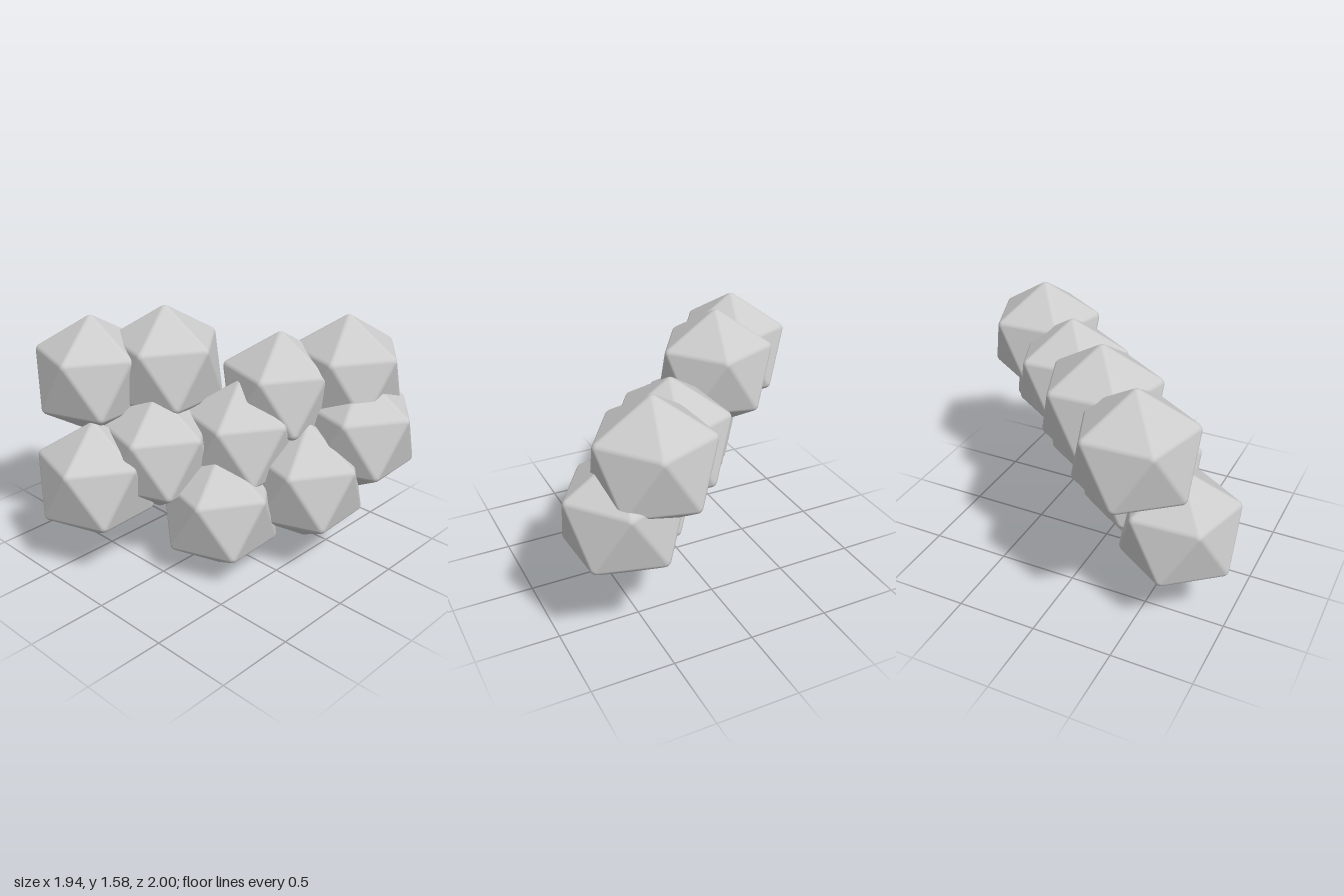
import * as THREE from 'three';

const CORE = 0.345;   // radius of the sharp inner icosahedron
const BEVEL = 0.04;   // rounding radius
const STEPS = 3;

// Icosahedron standing on a corner, with rounded edges and corners
function roundedIcosahedron() {
  const ring = (deg, y) => Array.from({ length: 5 }, (_, k) => {
    const a = THREE.MathUtils.degToRad(deg + 72 * k);
    return new THREE.Vector3(Math.cos(a) * 2, y, Math.sin(a) * 2).divideScalar(Math.sqrt(5));
  });
  const top = new THREE.Vector3(0, 1, 0), bottom = new THREE.Vector3(0, -1, 0);
  const up = ring(-3, 1), low = ring(33, -1);
  const faces = [];
  for (let k = 0; k < 5; k++) {
    const n = (k + 1) % 5;
    faces.push([top, up[k], up[n]], [up[k], up[n], low[k]], [low[k], low[n], up[n]], [bottom, low[k], low[n]]);
  }

  const pos = [], nor = [];
  // each corner is [core corner, normal]; winding follows the normals
  const tri = (...corners) => {
    const p = corners.map(([v, n]) => v.clone().multiplyScalar(CORE).addScaledVector(n, BEVEL));
    const cross = p[1].clone().sub(p[0]).cross(p[2].clone().sub(p[0]));
    if (cross.lengthSq() < 1e-16) return;
    const out = corners[0][1].clone().add(corners[1][1]).add(corners[2][1]);
    const order = cross.dot(out) > 0 ? [0, 1, 2] : [0, 2, 1];
    for (const i of order) {
      pos.push(...p[i].toArray());
      nor.push(...corners[i][1].toArray());
    }
  };
  const quad = (a, b, c, d) => { tri(a, b, c); tri(a, c, d); };
  const mix = (a, b, t) => a.clone().lerp(b, t).normalize();

  for (const f of faces) {
    const n = f[0].clone().add(f[1]).add(f[2]).normalize();
    tri(...f.map(v => [v, n]));                       // flat face
    for (let e = 0; e < 3; e++) {
      const v = f[e], w = f[(e + 1) % 3], m = mix(v, w, 0.5);
      for (let s = 0; s < STEPS; s++) {
        const a = mix(n, m, s / STEPS), b = mix(n, m, (s + 1) / STEPS);
        quad([v, a], [w, a], [w, b], [v, b]);         // half of the edge bevel
        for (const c of [v, w]) {                     // sector of the corner cap
          for (let r = 0; r < STEPS; r++) {
            const t0 = r / STEPS, t1 = (r + 1) / STEPS;
            quad([c, mix(a, c, t0)], [c, mix(b, c, t0)], [c, mix(b, c, t1)], [c, mix(a, c, t1)]);
          }
        }
      }
    }
  }
  const g = new THREE.BufferGeometry();
  g.setAttribute('position', new THREE.Float32BufferAttribute(pos, 3));
  g.setAttribute('normal', new THREE.Float32BufferAttribute(nor, 3));
  return g;
}

export function createModel() {
  const group = new THREE.Group();
  group.name = 'icosahedronCluster';
  const geometry = roundedIcosahedron();
  const material = new THREE.MeshStandardMaterial({ color: 0xcccccc });
  const centres = [
    // upper row
    [-0.625, 1.14, 0.47], [-0.33, 1.19, 0.13], [0.2, 1.035, -0.33], [0.46, 1.125, -0.66],
    // middle row
    [-0.2, 0.715, 0.33], [0.12, 0.775, -0.06], [0.62, 0.8, -0.605],
    // lower row
    [-0.41, 0.565, 0.663], [0.175, 0.385, 0.17], [0.49, 0.53, -0.27],
  ];
  centres.forEach((c, i) => {
    const mesh = new THREE.Mesh(geometry, material);
    mesh.name = `crystal${i + 1}`;
    mesh.position.set(...c);
    group.add(mesh);
  });
  return group;
}
